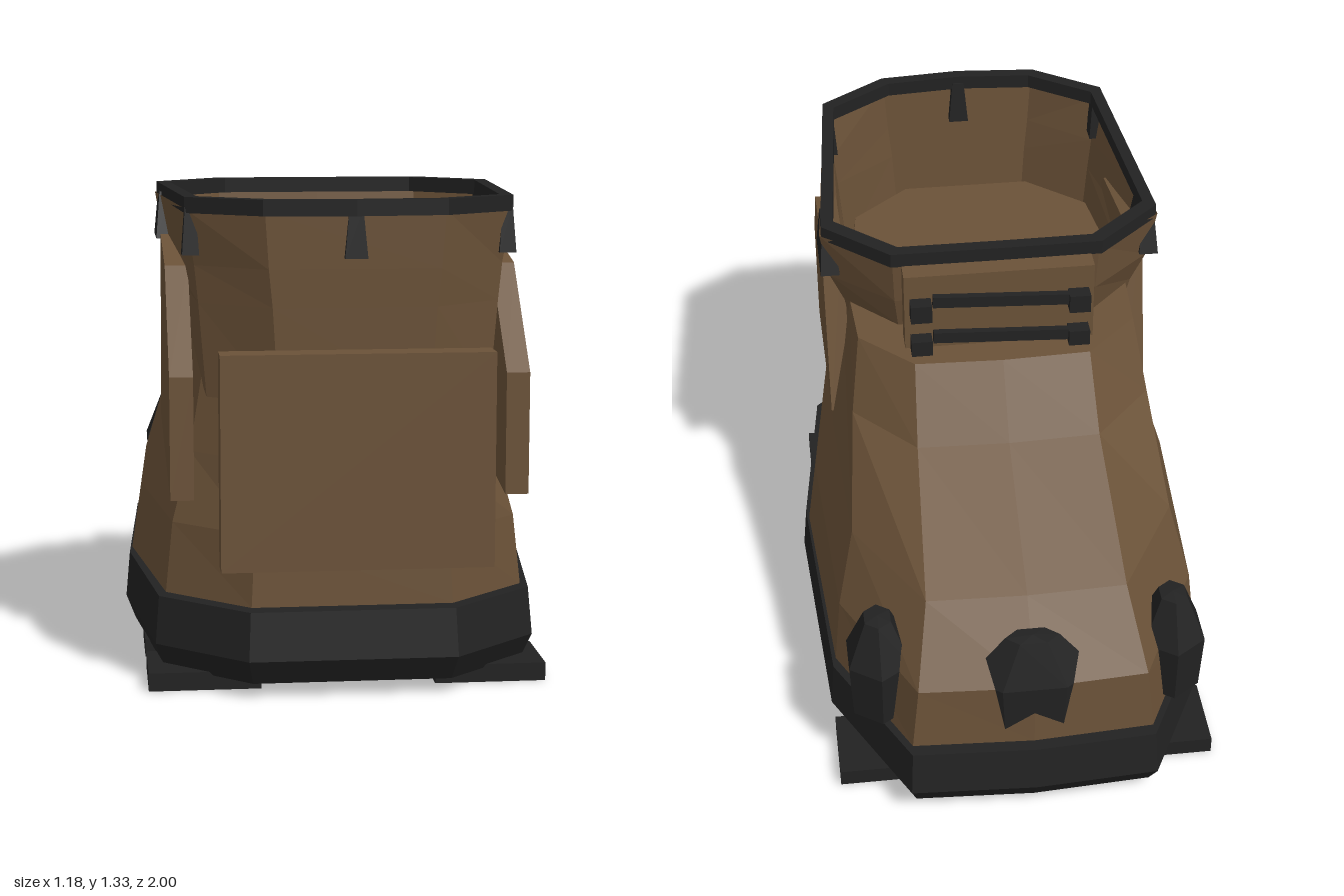
import * as THREE from 'three';

const leather = new THREE.MeshStandardMaterial({ color: 0x6b5238, flatShading: true, side: THREE.DoubleSide });
leather.name = 'brown leather';
const rubber = new THREE.MeshStandardMaterial({ color: 0x222222, flatShading: true });
rubber.name = 'black rubber';

// Completes a half outline [x, z] (toe to heel on the +x side) by mirroring it.
function mirrorRing(half, y) {
  const right = half.map(([x, z]) => [x, y, z]);
  const left = half.filter(([x]) => x > 0).reverse().map(([x, z]) => [-x, y, z]);
  return [...right, ...left];
}

// Joins rings of equal length from bottom to top, with optional end caps.
function loft(rings, capBottom, capTop) {
  const n = rings[0].length, pos = [], idx = [];
  rings.forEach(r => r.forEach(p => pos.push(...p)));
  for (let k = 0; k < rings.length - 1; k++) {
    for (let i = 0; i < n; i++) {
      const a = k * n + i, b = k * n + (i + 1) % n;
      idx.push(a, a + n, b + n, a, b + n, b);
    }
  }
  const cap = (k, up) => {
    const c = pos.length / 3;
    const mid = [0, 1, 2].map(d => rings[k].reduce((s, p) => s + p[d], 0) / n);
    pos.push(...mid);
    for (let i = 0; i < n; i++) {
      const a = k * n + i, b = k * n + (i + 1) % n;
      idx.push(c, up ? b : a, up ? a : b);
    }
  };
  if (capBottom) cap(0, false);
  if (capTop) cap(rings.length - 1, true);
  const g = new THREE.BufferGeometry();
  g.setAttribute('position', new THREE.Float32BufferAttribute(pos, 3));
  g.setIndex(idx);
  const flat = g.toNonIndexed();
  flat.computeVertexNormals();
  return flat;
}

export function createModel() {
  const boot = new THREE.Group();
  boot.name = 'boot';

  const add = (name, geometry, material, x = 0, y = 0, z = 0) => {
    const m = new THREE.Mesh(geometry, material);
    m.name = name;
    m.position.set(x, y, z);
    boot.add(m);
    return m;
  };
  const box = (name, mat, w, h, d, x, y, z) => add(name, new THREE.BoxGeometry(w, h, d), mat, x, y, z);

  // Sole, widest a little above its bottom edge
  const soleHalf = [[0, -1], [0.35, -0.98], [0.55, -0.59], [0.59, 0.14], [0.52, 0.7], [0.28, 0.915]];
  const soleRing = (s, y) => mirrorRing(soleHalf.map(([x, z]) => [x * s, z * s]), y);
  add('sole', loft([soleRing(0.955, 0.04), soleRing(1, 0.11), soleRing(0.98, 0.24)], true, true), rubber);

  // Tread blocks
  for (const z of [0.67, 0.32, -0.02, -0.365, -0.705]) {
    for (const s of [-1, 1]) box('tread', rubber, 0.305, 0.05, 0.225, s * 0.39, 0.025, z);
  }

  // Foot, narrowing upward toward the ankle
  const footRings = [
    mirrorRing([[0, -0.95], [0.34, -0.93], [0.53, -0.55], [0.57, 0.1], [0.49, 0.67], [0.27, 0.87]], 0.247),
    mirrorRing([[0, -0.94], [0.32, -0.92], [0.51, -0.53], [0.54, 0.1], [0.47, 0.66], [0.26, 0.86]], 0.44),
    mirrorRing([[0, -0.77], [0.28, -0.76], [0.46, -0.44], [0.48, 0.1], [0.42, 0.63], [0.24, 0.83]], 0.63),
    mirrorRing([[0, -0.38], [0.26, -0.37], [0.43, -0.18], [0.43, 0.15], [0.38, 0.6], [0.21, 0.8]], 0.86),
    mirrorRing([[0, -0.24], [0.25, -0.23], [0.4, -0.08], [0.41, 0.12], [0.36, 0.56], [0.19, 0.71]], 1.05),
  ];
  add('foot', loft(footRings, true, true), leather);

  // Open ankle cuff
  const cuffRings = [
    mirrorRing([[0, 0.03], [0.26, 0.03], [0.38, 0.16], [0.38, 0.77], [0.2, 0.905]], 0.8),
    mirrorRing([[0, -0.03], [0.28, -0.03], [0.425, 0.12], [0.4, 0.77], [0.215, 0.915]], 1.05),
    mirrorRing([[0, -0.055], [0.29, -0.055], [0.465, 0.1], [0.41, 0.77], [0.225, 0.92]], 1.15),
    mirrorRing([[0, -0.075], [0.295, -0.075], [0.49, 0.08], [0.435, 0.78], [0.235, 0.925]], 1.3),
  ];
  add('cuff', loft(cuffRings, false, false), leather);

  // Collar band around the opening
  const outer = [[0, -0.092], [0.3, -0.09], [0.485, 0.08], [0.435, 0.785], [0.24, 0.925], [0, 0.945]];
  const inner = outer.map(([x, z]) => [x * 0.925, 0.43 + (z - 0.43) * 0.925]);
  add('collar', loft([
    mirrorRing(outer, 1.288), mirrorRing(outer, 1.33),
    mirrorRing(inner, 1.33), mirrorRing(inner, 1.288), mirrorRing(outer, 1.288),
  ], false, false), rubber);

  // Tapered tabs hanging from the collar corners
  const tab = (x, z, w, d) => {
    const g = new THREE.CylinderGeometry(0.42, 0.707, 0.13, 4);
    g.rotateY(Math.PI / 4);
    g.scale(w, 1, d);
    add('collarTab', g, rubber, x, 1.243, z);
  };
  tab(0, 0.915, 0.06, 0.05);
  for (const s of [-1, 1]) {
    tab(s * 0.42, 0.765, 0.045, 0.07);
    tab(s * 0.465, 0.155, 0.055, 0.2);
  }

  // Ankle guards on both sides
  const guard = new THREE.Shape([[-0.82, 0.53], [-0.11, 0.65], [-0.25, 1.19], [-0.57, 1.13], [-0.82, 0.86]]
    .map(p => new THREE.Vector2(...p)));
  for (const s of [-1, 1]) {
    const g = new THREE.ExtrudeGeometry(guard, { depth: 0.063, bevelEnabled: false });
    g.rotateY(Math.PI / 2);
    add('ankleGuard', g, leather, s * 0.449 - 0.0315, 0, 0);
  }

  // Heel plate and tongue
  box('heelPlate', leather, 0.715, 0.567, 0.085, 0, 0.657, 0.957);
  box('tongue', leather, 0.54, 0.25, 0.07, 0, 1.165, -0.115);

  // Lace bars with end knobs
  for (const y of [1.19, 1.07]) {
    box('laceBar', rubber, 0.385, 0.034, 0.02, 0, y + 0.03, -0.185).rotation.z = 0.05;
    for (const s of [-1, 1]) box('laceKnob', rubber, 0.06, 0.055, 0.045, s * 0.225, y, -0.172);
  }

  // Toe studs: six-sided bumps with peaked tops
  const stud = (x, z, rx, rz, turn) => {
    const profile = [[0, 0.265], [0.9, 0.265], [1, 0.44], [0.42, 0.575], [0, 0.58]];
    const g = new THREE.LatheGeometry(profile.map(p => new THREE.Vector2(...p)), 6);
    g.rotateY(turn);
    g.scale(rx, 1, rz);
    add('toeStud', g, rubber, x, 0, z);
  };
  stud(0, -0.875, 0.18, 0.085, Math.PI / 6);
  for (const s of [-1, 1]) stud(s * 0.415, -0.745, 0.1, 0.12, 0);

  return boot;
}
